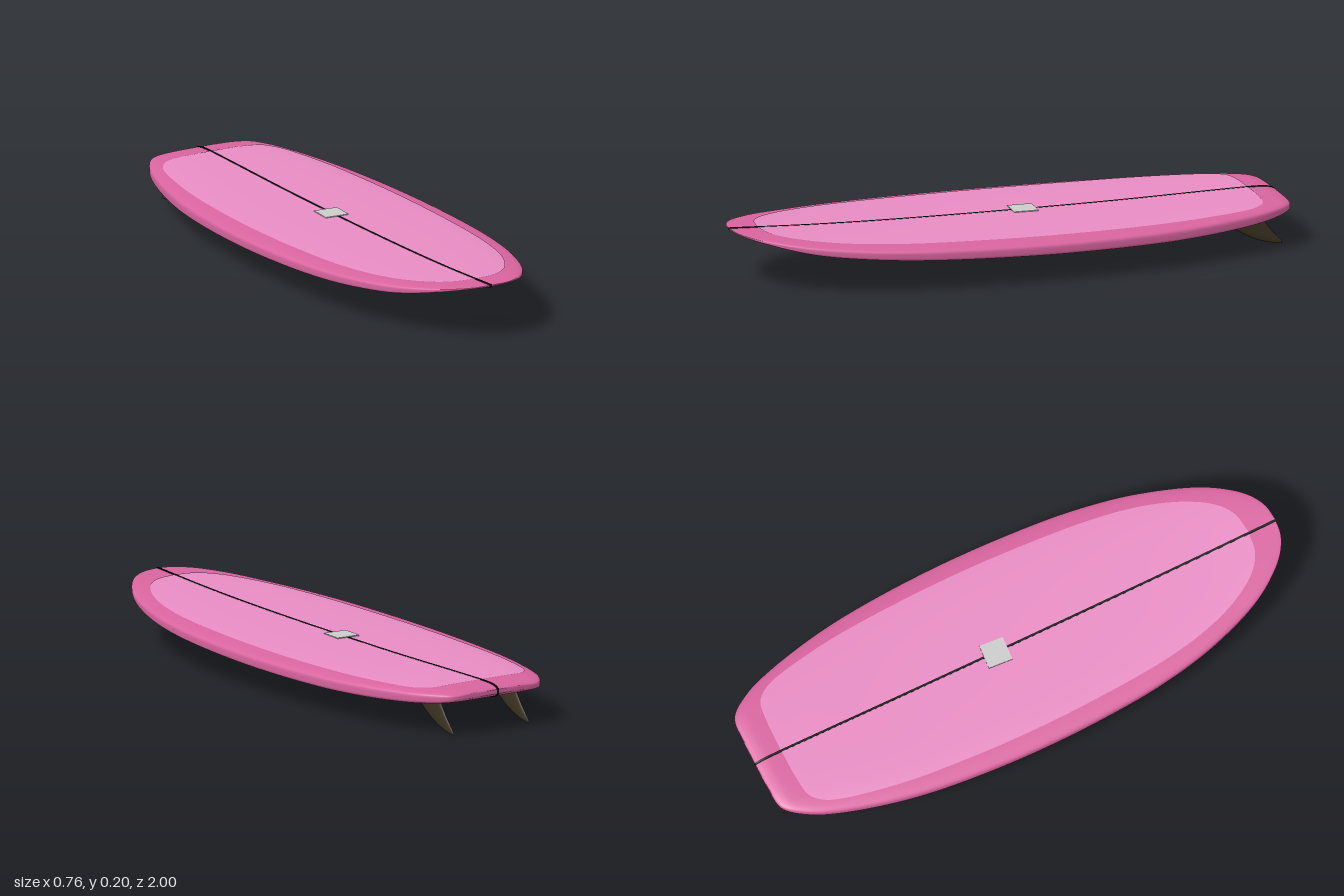
import * as THREE from 'three';

// Outlines as [half width, z], from tail to nose
const BOARD = [[0, -1], [0.1, -0.998], [0.17, -0.993], [0.2, -0.975], [0.25, -0.9], [0.288, -0.8], [0.337, -0.6], [0.364, -0.4], [0.379, -0.1],
  [0.371, 0.2], [0.352, 0.4], [0.312, 0.6], [0.24, 0.8], [0.178, 0.9], [0.12, 0.96], [0.06, 0.992], [0, 1]];
const PANEL = [[0, -0.9], [0.12, -0.897], [0.19, -0.885], [0.225, -0.85], [0.247, -0.8], [0.287, -0.6], [0.306, -0.4], [0.316, -0.1],
  [0.307, 0.2], [0.285, 0.45], [0.25, 0.62], [0.2, 0.75], [0.14, 0.84], [0.08, 0.883], [0, 0.897]];
// Rocker lines along the centre as [z, y]
const TOP = [[-1, 0.148], [-0.985, 0.156], [-0.95, 0.162], [-0.8, 0.163], [-0.4, 0.161], [0, 0.164], [0.4, 0.171], [0.7, 0.181], [1, 0.197]];
const BOTTOM = [[-1, 0.133], [-0.985, 0.122], [-0.93, 0.111], [-0.8, 0.099], [-0.6, 0.091], [-0.4, 0.089], [0, 0.094], [0.4, 0.108],
  [0.6, 0.121], [0.75, 0.136], [0.87, 0.16], [1, 0.192]];

// Smooth interpolation through a table
function interp(table, z) {
  const last = table.length - 1;
  let i = 0;
  while (i < last - 1 && z > table[i + 1][0]) i++;
  const slope = k => {
    const a = table[Math.max(k - 1, 0)], b = table[Math.min(k + 1, last)];
    return (b[1] - a[1]) / (b[0] - a[0]);
  };
  const [z0, y0] = table[i], [z1, y1] = table[i + 1], h = z1 - z0;
  const t = THREE.MathUtils.clamp((z - z0) / h, 0, 1), u = 1 - t;
  return u * u * (1 + 2 * t) * y0 + t * t * (3 - 2 * t) * y1 + h * t * u * (u * slope(i) - t * slope(i + 1));
}

const outline = (points, n) =>
  new THREE.CatmullRomCurve3(points.map(([w, z]) => new THREE.Vector3(w, 0, z)), false, 'centripetal').getPoints(n);
const boardRows = outline(BOARD, 128);

function halfWidth(z) {
  let i = 1;
  while (i < boardRows.length - 1 && boardRows[i].z < z) i++;
  const a = boardRows[i - 1], b = boardRows[i];
  return THREE.MathUtils.lerp(a.x, b.x, (z - a.z) / (b.z - a.z));
}

// Height of the deck (side 1) or bottom (side -1): crowned deck, flatter bottom
const DECK_POWER = 3, BOTTOM_POWER = 6;
function surfaceY(x, z, side) {
  const top = interp(TOP, z), bottom = interp(BOTTOM, z), mid = (top + bottom) / 2;
  const n = side > 0 ? DECK_POWER : BOTTOM_POWER;
  const s = Math.min(1, Math.abs(x) / Math.max(halfWidth(z), 1e-4));
  return mid + side * (top - bottom) / 2 * Math.pow(1 - Math.pow(s, n), 1 / n);
}

// Surface through rows of points
function loft(rows, closed) {
  const n = rows[0].length, index = [];
  for (let i = 0; i < rows.length - 1; i++) {
    for (let j = 0; j < (closed ? n : n - 1); j++) {
      const k = (j + 1) % n;
      const a = i * n + j, b = i * n + k, c = a + n, d = b + n;
      index.push(a, b, c, b, d, c);
    }
  }
  const geometry = new THREE.BufferGeometry();
  geometry.setAttribute('position', new THREE.Float32BufferAttribute(rows.flat(2), 3));
  geometry.setIndex(index);
  geometry.computeVertexNormals();
  return geometry;
}

function boardGeometry() {
  const segments = 72;
  return loft(boardRows.map(({ x: w, z }) => {
    const top = interp(TOP, z), bottom = interp(BOTTOM, z);
    const ring = [];
    for (let j = 0; j < segments; j++) {
      const t = j / segments * Math.PI * 2, c = Math.cos(t), s = Math.sin(t);
      const e = 2 / (s >= 0 ? DECK_POWER : BOTTOM_POWER);
      ring.push([
        w * Math.sign(c) * Math.pow(Math.abs(c), e),
        (top + bottom) / 2 + (top - bottom) / 2 * Math.sign(s) * Math.pow(Math.abs(s), e),
        z]);
    }
    return ring;
  }), true);
}

// Coloured panel lying just off the deck or bottom; columns run so it faces outward
function panelGeometry(side) {
  return loft(outline(PANEL, 90).map(({ x: w, z }) => {
    const row = [];
    for (let j = 0; j <= 32; j++) {
      const x = -side * w * (j / 16 - 1) * -1 * -1;
      row.push([x, surfaceY(x, z, side) + side * 0.0015, z]);
    }
    return row;
  }), false);
}

// Thin strip that wraps the whole centre line
function stringerGeometry() {
  const shape = new THREE.Shape(), steps = 80, points = [];
  for (let i = 0; i <= steps; i++) {
    const z = -Math.cos(i / steps * Math.PI);
    points.push(new THREE.Vector2(-z, interp(TOP, z) + 0.0025));
  }
  for (let i = steps; i >= 0; i--) {
    const z = -Math.cos(i / steps * Math.PI);
    points.push(new THREE.Vector2(-z, interp(BOTTOM, z) - 0.0025));
  }
  shape.setFromPoints(points);
  const geometry = new THREE.ExtrudeGeometry(shape, { depth: 0.008, bevelEnabled: false });
  return geometry.rotateY(Math.PI / 2).translate(-0.008, 0, 0);
}

// Raked fin lofted from foil sections: [y, leading z, trailing z, half thickness]
function finGeometry() {
  const sections = [[0.118, -0.735, -0.885, 0.011], [0.1, -0.75, -0.893, 0.0105], [0.08, -0.775, -0.907, 0.0098], [0.06, -0.803, -0.921, 0.009],
    [0.04, -0.835, -0.938, 0.008], [0.022, -0.872, -0.954, 0.0066], [0.01, -0.91, -0.965, 0.005], [0.003, -0.942, -0.968, 0.003], [0, -0.96, -0.964, 0]];
  return loft(sections.map(([y, lead, trail, thick]) => {
    const ring = [];
    for (let j = 0; j < 24; j++) {
      const t = j / 24 * Math.PI * 2;
      ring.push([thick * Math.cos(t), y, (lead + trail) / 2 + (lead - trail) / 2 * Math.sin(t)]);
    }
    return ring;
  }), true);
}

export function createModel() {
  const model = new THREE.Group();
  model.name = 'surfboard';
  const material = (color, side = THREE.FrontSide) => new THREE.MeshStandardMaterial({ color, side });
  const add = (name, geometry, mat) => {
    const mesh = new THREE.Mesh(geometry, mat);
    mesh.name = name;
    model.add(mesh);
    return mesh;
  };

  // Board with rounded rails
  add('board', boardGeometry(), material(0xd8649f));

  // Lighter panels on both faces
  const panelMaterial = material(0xe88cc4, THREE.DoubleSide);
  add('deckPanel', panelGeometry(1), panelMaterial);
  add('bottomPanel', panelGeometry(-1), panelMaterial);

  // Centre line
  add('stringer', stringerGeometry(), material(0x0a0a0a));

  // Plain patch on the deck
  const patch = add('deckPatch', new THREE.BoxGeometry(0.088, 0.004, 0.088), material(0xcccccc));
  patch.position.set(-0.007, interp(TOP, -0.077) + 0.0025, -0.077);
  patch.rotation.y = -0.06;

  // Twin fins under the tail
  const finMaterial = material(0x3a3222);
  for (const side of [1, -1]) {
    add(side > 0 ? 'leftFin' : 'rightFin', finGeometry(), finMaterial).position.x = side * 0.16;
  }
  return model;
}
